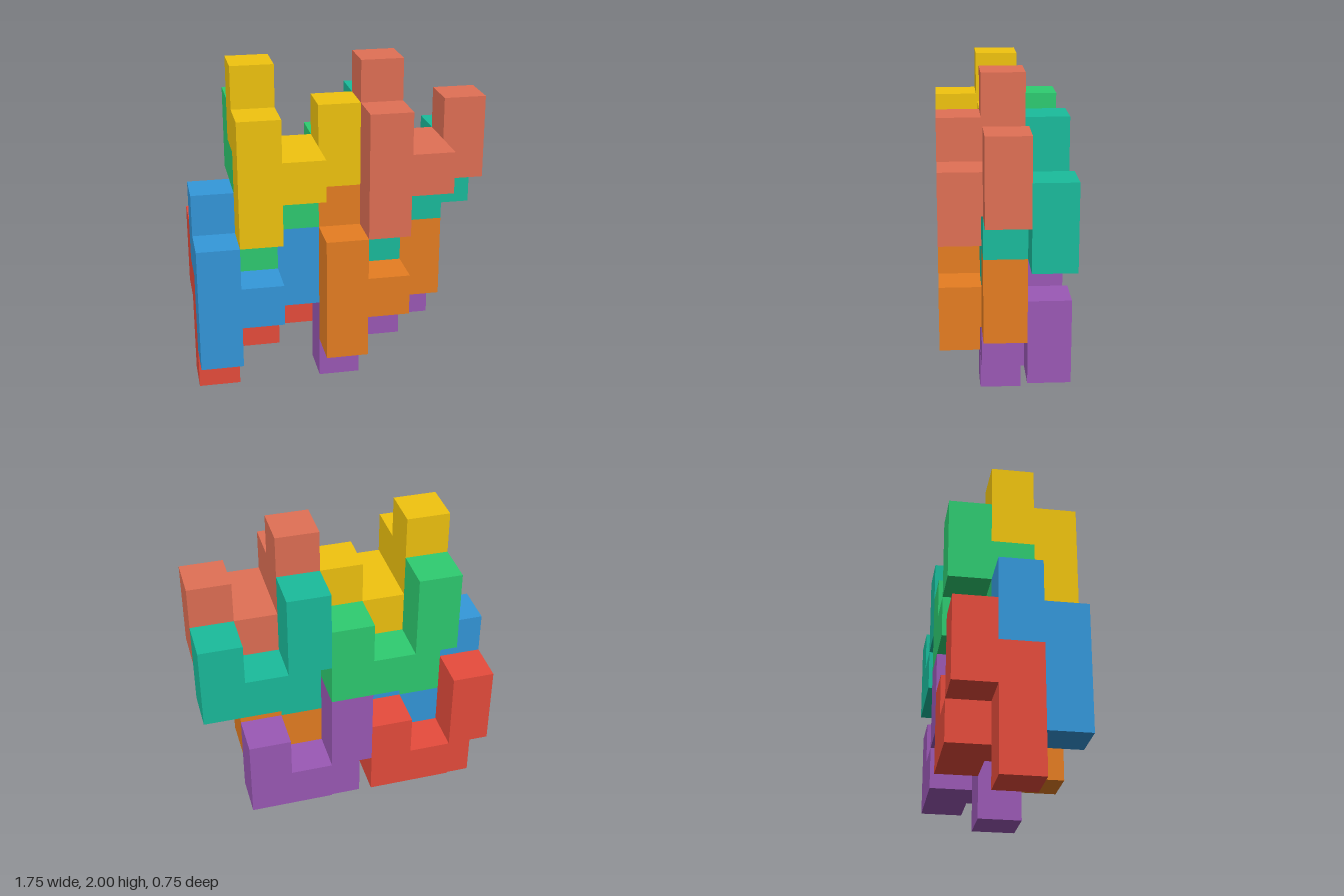
import * as THREE from 'three';
import { mergeGeometries } from 'three/addons/utils/BufferGeometryUtils.js';

const UNIT = 0.25;

// One interlocking piece: unit cells as [x, y, z], a front layer and a back layer.
const CELLS = [
  [0, 0, 0], [0, 1, 0], [0, 2, 0], [1, 1, 0],
  [0, 2, -1], [0, 3, -1], [1, 1, -1], [2, 1, -1], [2, 2, -1],
];

// Piece name, colour and grid position of its lowest front cell.
const PIECES = [
  ['redPiece', 0xe74c3c, [0, 0, 0]],
  ['bluePiece', 0x3498db, [0, 1, 1]],
  ['greenPiece', 0x2ecc71, [1, 3, 0]],
  ['yellowPiece', 0xf1c40f, [1, 4, 1]],
  ['purplePiece', 0x9b59b6, [3, 0, 0]],
  ['orangePiece', 0xe67e22, [3, 1, 1]],
  ['tealPiece', 0x1abc9c, [4, 3, 0]],
  ['salmonPiece', 0xe17055, [4, 4, 1]],
];

// Outward directions of a cell's faces, with the turn that aims a plane that way.
const FACES = [
  [[0, 0, 1], 0, 0], [[0, 0, -1], 0, Math.PI],
  [[1, 0, 0], 0, Math.PI / 2], [[-1, 0, 0], 0, -Math.PI / 2],
  [[0, 1, 0], -Math.PI / 2, 0], [[0, -1, 0], Math.PI / 2, 0],
];

// Outer skin of the piece: a square wherever a cell has no neighbour.
function pieceGeometry() {
  const filled = new Set(CELLS.map(String));
  const squares = [];
  for (const cell of CELLS) {
    for (const [dir, rx, ry] of FACES) {
      if (filled.has(String(cell.map((c, i) => c + dir[i])))) continue;
      const square = new THREE.PlaneGeometry(UNIT, UNIT).rotateX(rx).rotateY(ry);
      square.translate(...cell.map((c, i) => (c + dir[i] / 2) * UNIT));
      squares.push(square);
    }
  }
  return mergeGeometries(squares);
}

export function createModel() {
  const model = new THREE.Group();
  model.name = 'interlockingPieces';
  const geometry = pieceGeometry();
  for (const [name, color, [x, y, z]] of PIECES) {
    const piece = new THREE.Mesh(geometry, new THREE.MeshStandardMaterial({ color }));
    piece.name = name;
    piece.position.set((x - 3) * UNIT, (y + 0.5) * UNIT, z * UNIT);
    model.add(piece);
  }
  return model;
}
